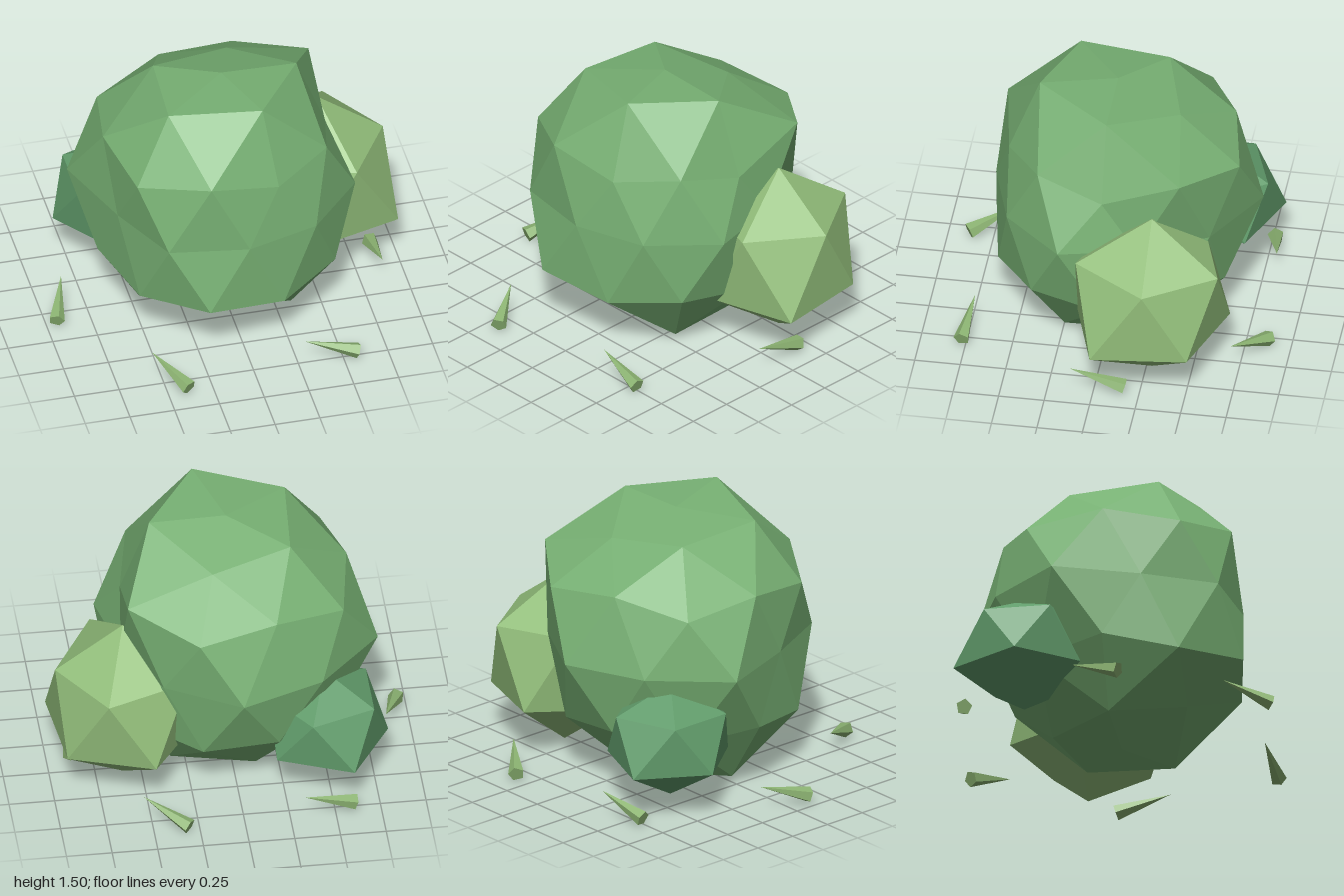
import * as THREE from 'three';

const material = (color) =>
  new THREE.MeshStandardMaterial({ color, flatShading: true, roughness: 0.9 });

// A ring of points around the y axis: start angle in degrees, radii, and heights (repeated as needed).
function ring(start, radii, heights) {
  const n = radii.length;
  return radii.map((r, i) => {
    const angle = start + (360 * i) / n;
    const a = THREE.MathUtils.degToRad(angle);
    return { angle, p: [r * Math.cos(a), heights[i % heights.length], r * Math.sin(a)] };
  });
}

// Joins two rings with triangles, always taking the step whose middle comes first.
function stitch(upper, lower, out) {
  const nu = upper.length, nl = lower.length;
  const at = (list, i) => list[i % list.length];
  const angle = (list, i) => at(list, i).angle + 360 * Math.floor(i / list.length);
  const middle = (list, i) =>
    list.length === 1 || i >= list.length ? Infinity : angle(list, i) + angle(list, i + 1);
  let i = 0, j = 0;
  while (middle(upper, i) < Infinity || middle(lower, j) < Infinity) {
    const a = at(upper, i).p, b = at(lower, j).p;
    if (middle(upper, i) < middle(lower, j)) out.push(...a, ...at(upper, ++i).p, ...b);
    else out.push(...a, ...at(lower, ++j).p, ...b);
  }
}

// A faceted clump of leaves from rings listed top to bottom.
function clump(name, color, rings, x = 0, z = 0) {
  const positions = [];
  for (let k = 0; k + 1 < rings.length; k++) stitch(rings[k], rings[k + 1], positions);
  const geometry = new THREE.BufferGeometry();
  geometry.setAttribute('position', new THREE.Float32BufferAttribute(positions, 3));
  geometry.computeVertexNormals();
  const mesh = new THREE.Mesh(geometry, material(color));
  mesh.name = name;
  mesh.position.set(x, 0, z);
  return mesh;
}

// A thin five-sided blade lying from its base to its tip.
function blade(base, tip) {
  const from = new THREE.Vector3(...base), to = new THREE.Vector3(...tip);
  const direction = to.clone().sub(from);
  const mesh = new THREE.Mesh(
    new THREE.ConeGeometry(0.045, direction.length(), 5), material(0x8db573));
  mesh.position.copy(from).lerp(to, 0.5);
  mesh.quaternion.setFromUnitVectors(new THREE.Vector3(0, 1, 0), direction.normalize());
  mesh.name = 'grassBlade';
  return mesh;
}

export function createModel() {
  const group = new THREE.Group();
  group.name = 'bush';

  // Large uneven clump
  group.add(clump('mainFoliage', 0x77b073, [
    ring(0, [0], [1.48]),
    ring(0, [0.42, 0.43, 0.44, 0.4, 0.38], [1.47, 1.5, 1.44, 1.41, 1.36]),
    ring(0, [0.58, 0.62, 0.6, 0.67, 0.7, 0.66, 0.73, 0.65, 0.74, 0.73],
      [1.05, 1.15, 1.09, 1.18, 1.1, 1.16, 1.1, 1.18, 1.13, 1.22]),
    ring(18, [0.73, 0.68, 0.67, 0.74, 0.66, 0.84, 0.77, 0.8, 0.7, 0.63], [0.77]),
    ring(0, [0.62, 0.67, 0.66, 0.74, 0.68, 0.69, 0.66, 0.68, 0.65, 0.66], [0.35, 0.4]),
    ring(36, [0.41, 0.4, 0.46, 0.38, 0.41], [0.04, 0.19, 0.04, 0.06, 0.05]),
    ring(36, [0], [0.02]),
  ]));

  // Two smaller clumps tucked against it
  group.add(clump('leftFoliage', 0x93bf7b, [
    ring(0, [0], [1.0]),
    ring(0, [0.37, 0.42, 0.4, 0.4, 0.4], [0.73, 0.75]),
    ring(36, [0.48, 0.47, 0.41, 0.43, 0.41], [0.3, 0.31]),
    ring(36, [0], [0.005]),
  ], 0.6, -0.28));
  group.add(clump('rightFoliage', 0x619c6b, [
    ring(0, [0], [0.72]),
    ring(0, [0.31, 0.31, 0.31, 0.31, 0.32], [0.57]),
    ring(36, [0.34, 0.34, 0.35, 0.39, 0.35], [0.29]),
    ring(36, [0], [0.07]),
  ], -0.48, -0.46));

  // Blades scattered on the ground: base, tip
  const blades = [
    [[-0.95, 0.05, 0.13], [-0.86, 0.14, -0.14]],
    [[-0.39, 0.05, 0.88], [-0.54, 0.14, 0.64]],
    [[0.58, 0.05, 0.77], [0.29, 0.14, 0.74]],
    [[0.87, 0.05, -0.17], [0.87, 0.14, 0.13]],
    [[0.31, 0.05, -0.88], [0.54, 0.14, -0.7]],
    [[-0.61, 0.05, -0.77], [-0.33, 0.14, -0.82]],
  ];
  const grass = new THREE.Group();
  grass.name = 'grassBlades';
  blades.forEach(([base, tip]) => grass.add(blade(base, tip)));
  group.add(grass);

  return group;
}
